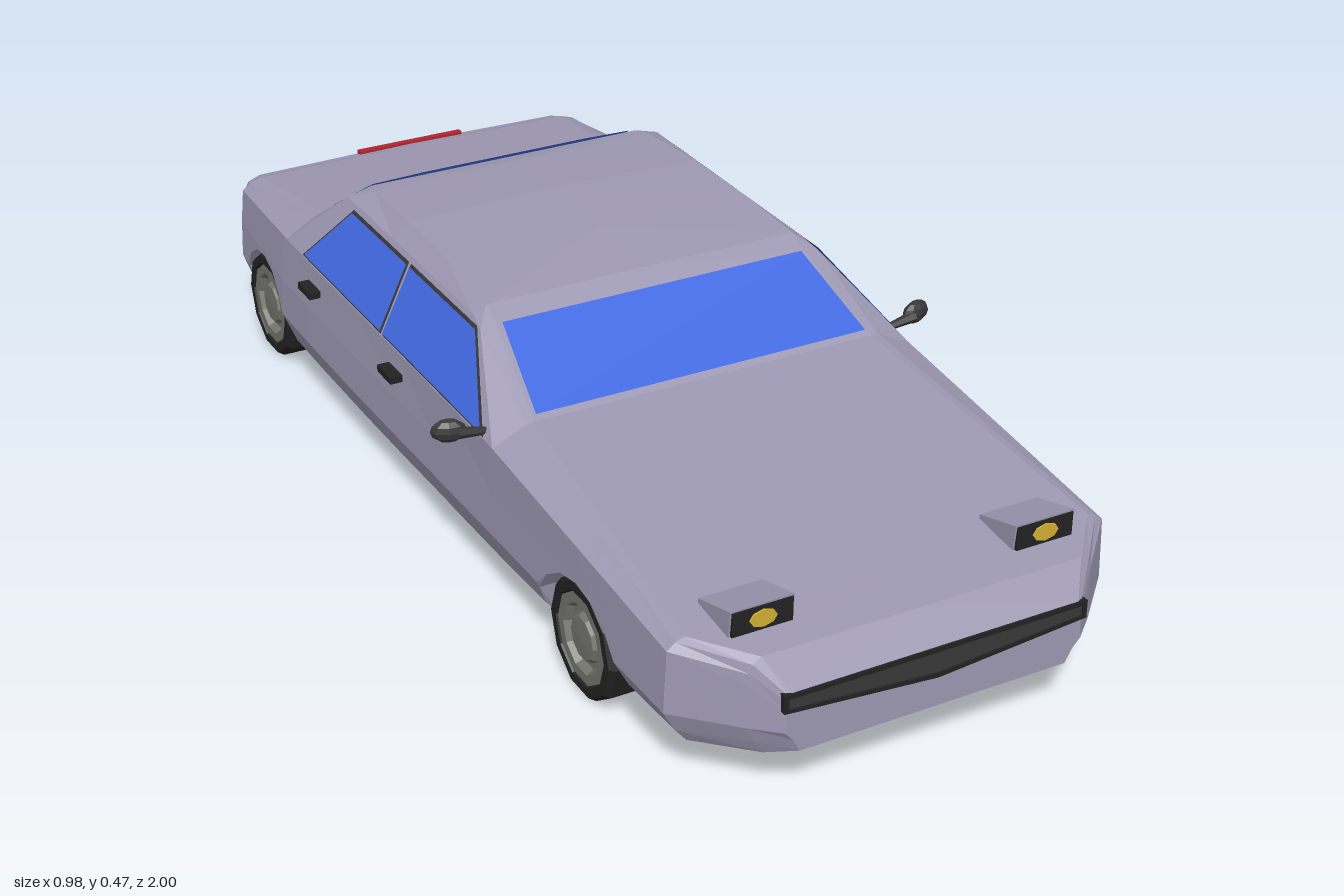
import * as THREE from 'three';

const mat = (color) => new THREE.MeshStandardMaterial({ color, flatShading: true, side: THREE.DoubleSide });
const PAINT = mat(0x9d98b2), GLASS = mat(0x4169e1), BLACK = mat(0x222222), DARK = mat(0x383838);
const RIM = mat(0x74746e), RED = mat(0xb0252f), YELLOW = mat(0xd2b032);

function add(parent, name, geometry, material, x = 0, y = 0, z = 0) {
  const mesh = new THREE.Mesh(geometry, material);
  mesh.name = name;
  mesh.position.set(x, y, z);
  parent.add(mesh);
  return mesh;
}

function fromTriangles(pos) {
  const g = new THREE.BufferGeometry();
  g.setAttribute('position', new THREE.Float32BufferAttribute(pos, 3));
  g.computeVertexNormals();
  return g;
}

// Flat convex panel from its corners
function panel(points) {
  const pos = [];
  for (let i = 1; i < points.length - 1; i++) pos.push(...points[0], ...points[i], ...points[i + 1]);
  return fromTriangles(pos);
}

// Body stations: z, half width, floor y, belt x/y, edge x/y, shoulder x/y, centre y
const STATIONS = [
  [1.0, 0.27, 0.1, 0.268, 0.195, 0.265, 0.205, 0.26, 0.21, 0.21],
  [0.96, 0.315, 0.085, 0.31, 0.235, 0.305, 0.25, 0.29, 0.26, 0.26],
  [0.87, 0.405, 0.078, 0.4, 0.25, 0.385, 0.262, 0.37, 0.268, 0.27],
  [0.29, 0.412, 0.06, 0.407, 0.305, 0.345, 0.333, 0.33, 0.335, 0.335],
  [0.1, 0.415, 0.06, 0.407, 0.305, 0.335, 0.42, 0.305, 0.4255, 0.4255],
  [0.06, 0.415, 0.06, 0.407, 0.305, 0.328, 0.43, 0.305, 0.444, 0.445],
  [-0.1, 0.418, 0.06, 0.407, 0.305, 0.328, 0.43, 0.3, 0.455, 0.46],
  [-0.28, 0.42, 0.06, 0.407, 0.305, 0.328, 0.43, 0.295, 0.458, 0.465],
  [-0.45, 0.42, 0.06, 0.407, 0.305, 0.328, 0.43, 0.29, 0.448, 0.452],
  [-0.49, 0.42, 0.06, 0.407, 0.305, 0.328, 0.43, 0.28, 0.443, 0.443],
  [-0.64, 0.418, 0.06, 0.405, 0.305, 0.345, 0.33, 0.32, 0.335, 0.335],
  [-0.93, 0.39, 0.06, 0.38, 0.28, 0.365, 0.292, 0.34, 0.3, 0.302],
  [-0.965, 0.375, 0.06, 0.365, 0.262, 0.355, 0.28, 0.33, 0.29, 0.295],
  [-1.0, 0.2, 0.1, 0.2, 0.225, 0.2, 0.24, 0.2, 0.25, 0.255],
];
const AXLES = [0.585, -0.765];
const ARCH = 0.14;

function stationAt(z) {
  const i = Math.max(1, STATIONS.findIndex((s) => s[0] <= z));
  const a = STATIONS[i - 1], b = STATIONS[i], t = (a[0] - z) / (a[0] - b[0]);
  return a.map((v, k) => v + (b[k] - v) * t);
}

// Half outline of one station, from floor centre up to roof centre
function outline([z, w, yb, bx, by, ex, ey, sx, sy, ty]) {
  let arch = yb;
  for (const c of AXLES) {
    const d = (z - c) / ARCH;
    if (Math.abs(d) < 0.999) arch = Math.max(yb, 0.08 + 0.13 * Math.sqrt(1 - d * d));
  }
  const side = [[w * 0.9, yb], [w * 0.95, yb + 0.025], [w, 0.14], [w * 0.992, Math.min(0.215, by - 0.02)], [bx, by]];
  const sideX = (y) => {
    const i = Math.max(1, side.findIndex((p) => p[1] >= y));
    const [a, b] = [side[i - 1], side[i]];
    return a[0] + ((b[0] - a[0]) * (y - a[1])) / (b[1] - a[1]);
  };
  const inner = Math.min(0.27, w * 0.85);
  const half = [[0, yb], [inner, yb], [inner, arch]];
  for (const [, y] of side) half.push([sideX(Math.max(y, arch)), Math.max(y, arch)]);
  half.push([ex, ey], [sx, sy], [0, ty]);
  const mirrored = half.slice(1, -1).reverse().map(([x, y]) => [-x, y]);
  return [...half, ...mirrored].map(([x, y]) => [x, y, z]);
}

function bodyGeometry() {
  const zs = STATIONS.map((s) => s[0]);
  for (const c of AXLES) for (let k = 0; k <= 8; k++) zs.push(c + ARCH * Math.cos((k * Math.PI) / 8));
  zs.sort((a, b) => b - a);
  const rings = zs.map((z) => outline(stationAt(z)));
  const n = rings[0].length, pos = [];
  for (let i = 0; i < rings.length - 1; i++) {
    for (let j = 0; j < n; j++) {
      const k = (j + 1) % n, a = rings[i], b = rings[i + 1];
      // the diagonal follows the windscreen pillars
      if ((zs[i] > -0.3) === (j < n / 2)) pos.push(...a[j], ...b[j], ...b[k], ...a[j], ...b[k], ...a[k]);
      else pos.push(...a[j], ...b[j], ...a[k], ...b[j], ...b[k], ...a[k]);
    }
  }
  const first = rings[0], last = rings[rings.length - 1];
  for (let j = 0; j < n; j++) {
    const k = (j + 1) % n;
    pos.push(0, 0.16, first[0][2], ...first[j], ...first[k]);
    pos.push(0, 0.17, last[0][2], ...last[k], ...last[j]);
  }
  return fromTriangles(pos);
}

function makeWheel() {
  const wheel = new THREE.Group();
  const lathe = (pts) => new THREE.LatheGeometry(pts.map((p) => new THREE.Vector2(...p)), 10).rotateZ(-Math.PI / 2);
  add(wheel, 'tyre', lathe([[0, -0.0625], [0.108, -0.0625], [0.108, 0.05], [0.1, 0.0625], [0.084, 0.0625], [0.078, 0.05]]), BLACK);
  add(wheel, 'rim', lathe([[0.082, 0.05], [0.08, 0.06], [0.062, 0.06], [0.055, 0.046], [0.045, 0.046], [0.038, 0.058], [0, 0.06]]), RIM);
  return wheel;
}

// Grille outline, inset by d
function grilleShape(C, d) {
  const x = 0.275 - d;
  return new C([[-x, 0.21 - d], [-x, 0.178 + d * 0.7], [0, 0.155 + d], [x, 0.178 + d * 0.7], [x, 0.21 - d]]
    .map((p) => new THREE.Vector2(...p)));
}

function createModel() {
  const car = new THREE.Group();
  car.name = 'car';
  add(car, 'body', bodyGeometry(), PAINT);

  // Windscreen and rear window, lying just above the body slopes
  const frontY = (z) => 0.34 + (0.29 - z) * 0.478;
  add(car, 'windscreen', panel([[-0.322, 0.282], [0.322, 0.282], [0.296, 0.105], [-0.296, 0.105]]
    .map(([x, z]) => [x, frontY(z), z])), GLASS);
  const rearY = (z) => 0.341 + (z + 0.64) * 0.72;
  add(car, 'rearWindow', panel([[0.31, -0.612], [0.17, -0.638], [-0.17, -0.638], [-0.31, -0.612],
    [-0.272, -0.505], [-0.17, -0.494], [0.17, -0.494], [0.272, -0.505]].map(([x, z]) => [x, rearY(z), z])), GLASS);

  // Grille
  const frame = grilleShape(THREE.Shape, 0);
  frame.holes.push(grilleShape(THREE.Path, 0.008));
  add(car, 'grilleFrame', new THREE.ExtrudeGeometry(frame, { depth: 0.02, bevelEnabled: false }), BLACK, 0, 0, 0.984);
  add(car, 'grille', new THREE.ShapeGeometry(grilleShape(THREE.Shape, 0.006)), DARK, 0, 0, 1.001);

  add(car, 'brakeLight', new THREE.BoxGeometry(0.23, 0.008, 0.014), RED, 0, 0.298, -0.957);

  for (const s of [1, -1]) {
    const side = new THREE.Group();
    side.name = s > 0 ? 'leftSide' : 'rightSide';
    car.add(side);

    // Side windows over a slightly larger dark seal
    const onSide = (pts, lift) => panel(pts.map(([z, y]) => [s * (0.407 - (y - 0.305) * 0.632 + lift), y, z]));
    add(side, 'windowSeal', onSide([[0.256, 0.309], [0.088, 0.423], [-0.186, 0.423], [-0.16, 0.309]], 0.003), DARK);
    add(side, 'windowSeal', onSide([[-0.168, 0.309], [-0.194, 0.423], [-0.445, 0.423], [-0.537, 0.309]], 0.003), DARK);
    add(side, 'frontSideWindow', onSide([[0.245, 0.313], [0.091, 0.419], [-0.182, 0.419], [-0.16, 0.313]], 0.006), GLASS);
    add(side, 'rearSideWindow', onSide([[-0.172, 0.313], [-0.196, 0.419], [-0.442, 0.419], [-0.528, 0.313]], 0.006), GLASS);

    for (const z of [-0.1, -0.475]) add(side, 'doorHandle', new THREE.BoxGeometry(0.026, 0.013, 0.058), BLACK, s * 0.42, 0.265, z);

    // Wing mirror
    const shell = add(side, 'mirror', new THREE.SphereGeometry(1, 8, 6), DARK, s * 0.46, 0.326, 0.235);
    shell.scale.set(0.031, 0.021, 0.016);
    shell.rotation.y = s * 0.3;
    const arm = add(side, 'mirrorArm', new THREE.CylinderGeometry(0.011, 0.006, 0.06, 6), DARK, s * 0.42, 0.319, 0.246);
    arm.rotation.z = -s * 1.4;

    // Pop-up headlight
    const wedge = new THREE.Shape([[0.9, 0.255], [0.905, 0.312], [0.81, 0.283], [0.81, 0.255]].map((p) => new THREE.Vector2(...p)));
    const pod = new THREE.ExtrudeGeometry(wedge, { depth: 0.112, bevelEnabled: false }).rotateY(-Math.PI / 2);
    add(side, 'headlightPod', pod, PAINT, s * 0.257 + 0.056, 0, 0);
    add(side, 'headlightFrame', new THREE.BoxGeometry(0.106, 0.042, 0.006), BLACK, s * 0.257, 0.288, 0.904);
    const lamp = add(side, 'headlight', new THREE.CylinderGeometry(1, 1, 0.004, 8).rotateX(Math.PI / 2), YELLOW, s * 0.257, 0.288, 0.908);
    lamp.scale.set(0.024, 0.015, 1);

    // Tail light following the rear corner
    const tail = [[0.25, 0.2], [0.265, 0.184], [0.335, 0.184], [0.352, 0.205], [0.34, 0.228], [0.262, 0.226]];
    add(side, 'tailLight', panel(tail.map(([x, y]) => [s * x, y, -1.005 + 0.206 * (x - 0.2)])), RED);

    for (const z of AXLES) {
      const wheel = makeWheel();
      wheel.name = z > 0 ? 'frontWheel' : 'rearWheel';
      wheel.position.set(s * 0.3375, 0.1027, z);
      if (s < 0) wheel.rotation.y = Math.PI;
      side.add(wheel);
    }
  }
  return car;
}

export { createModel };
